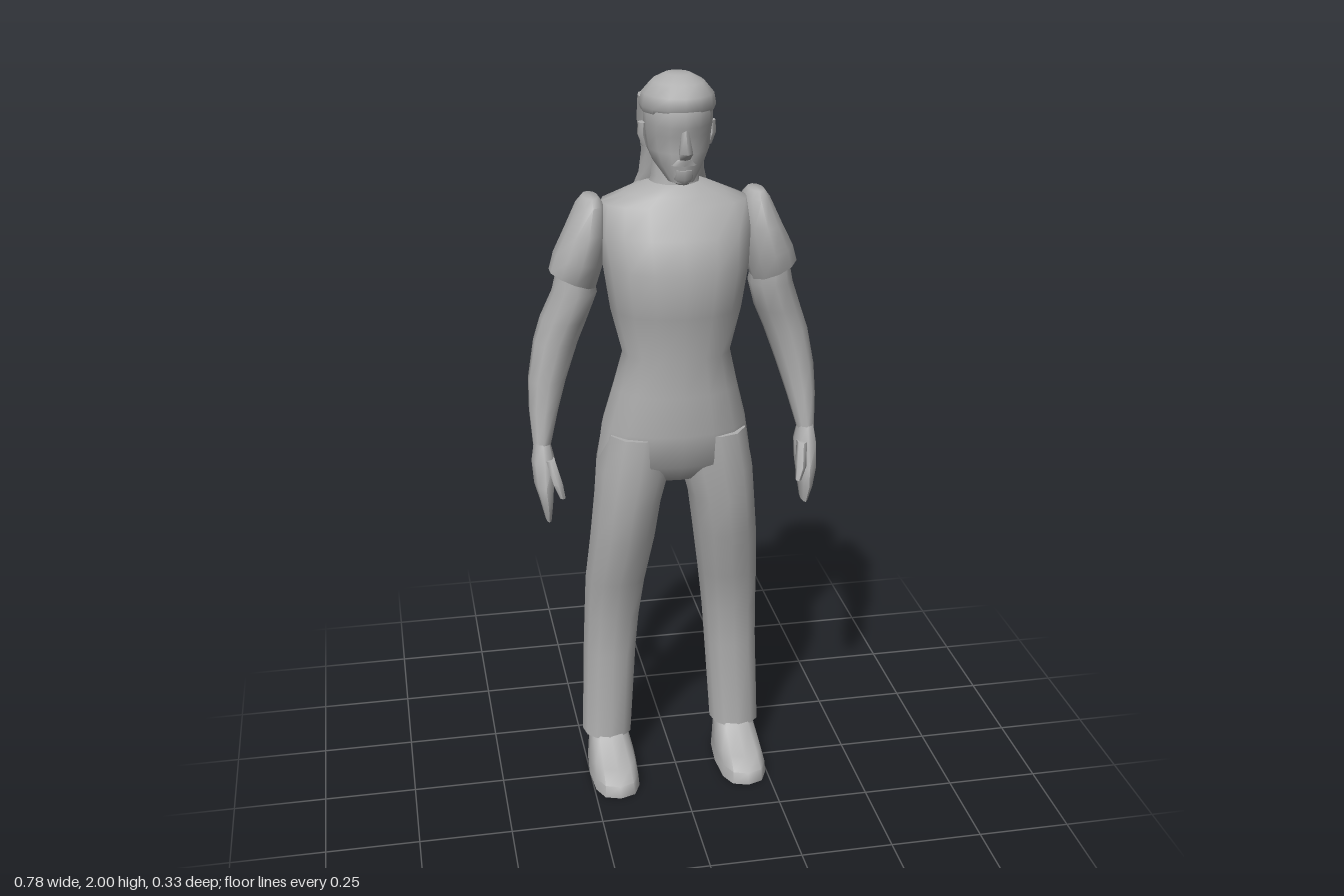
import * as THREE from 'three';
import { mergeVertices, toCreasedNormals } from 'three/addons/utils/BufferGeometryUtils.js';

// Loft through level cross-sections, listed top to bottom.
// Each ring: [y, xMin, xMax, zBack, zFront, slope of y over x]
function loft(rings, sides = 12, power = 2, side = 1, crease = 1.1) {
  const rows = rings.length - 1;
  const g = new THREE.CylinderGeometry(1, 1, 1, sides, rows);
  g.deleteAttribute('uv');
  g.deleteAttribute('normal');
  const p = g.attributes.position;
  const bulge = (v) => Math.sign(v) * Math.pow(Math.abs(v), 2 / power);
  for (let i = 0; i < p.count; i++) {
    const [y, x0, x1, z0, z1, slope = 0] = rings[Math.round((0.5 - p.getY(i)) * rows)];
    const dx = (bulge(p.getX(i)) * (x1 - x0)) / 2;
    const dz = (bulge(p.getZ(i)) * (z1 - z0)) / 2;
    p.setXYZ(i, (side * (x0 + x1)) / 2 + dx, y + slope * dx * side, (z0 + z1) / 2 + dz);
  }
  return toCreasedNormals(mergeVertices(g, 1e-5), crease);
}

// Rings symmetric about x = 0: [y, halfWidth, zBack, zFront]
const centred = (rings) => rings.map(([y, w, b, f]) => [y, -w, w, b, f]);

export function createModel() {
  const model = new THREE.Group();
  model.name = 'standingMan';
  const grey = new THREE.MeshStandardMaterial({ color: 0xb0b0b0 });
  grey.name = 'plain grey';

  const add = (name, geometry, parent = model) => {
    const mesh = new THREE.Mesh(geometry, grey);
    mesh.name = name;
    parent.add(mesh);
  };

  // Torso from the collar down to the crotch
  add('torso', loft(centred([
    [1.725, 0.07, -0.09, 0.055],
    [1.70, 0.13, -0.11, 0.075],
    [1.675, 0.19, -0.13, 0.09],
    [1.60, 0.20, -0.155, 0.13],
    [1.52, 0.19, -0.148, 0.163],
    [1.40, 0.172, -0.125, 0.14],
    [1.28, 0.142, -0.10, 0.12],
    [1.18, 0.166, -0.132, 0.122],
    [1.07, 0.195, -0.165, 0.118],
    [0.98, 0.208, -0.153, 0.108],
    [0.92, 0.10, -0.10, 0.05],
  ]), 16, 2.2));

  // Head
  const head = new THREE.Group();
  head.name = 'head';
  model.add(head);
  add('neck', loft(centred([
    [1.82, 0.06, -0.07, 0.05],
    [1.74, 0.06, -0.08, 0.05],
    [1.69, 0.075, -0.09, 0.06],
  ])), head);
  add('face', loft(centred([
    [1.96, 0.07, -0.05, 0.125],
    [1.93, 0.086, -0.08, 0.14],
    [1.885, 0.085, -0.08, 0.145],
    [1.86, 0.083, -0.08, 0.13],
    [1.82, 0.078, -0.075, 0.133],
    [1.785, 0.063, -0.05, 0.125],
    [1.745, 0.034, 0.03, 0.118],
  ]), 14), head);
  add('nose', loft(centred([
    [1.88, 0.009, 0.11, 0.142],
    [1.825, 0.018, 0.11, 0.166],
    [1.805, 0.014, 0.11, 0.135],
  ]), 6), head);
  add('moustache', loft(centred([
    [1.806, 0.02, 0.10, 0.136],
    [1.79, 0.034, 0.09, 0.131],
  ]), 8), head);
  add('beard', loft(centred([
    [1.778, 0.024, 0.09, 0.129],
    [1.755, 0.028, 0.07, 0.127],
    [1.74, 0.017, 0.07, 0.115],
  ]), 8), head);

  // Hair crown, and the long back that flares over the collar
  add('hairTop', loft(centred([
    [2.0, 0.032, -0.01, 0.07],
    [1.983, 0.065, -0.05, 0.115],
    [1.955, 0.089, -0.078, 0.14],
    [1.925, 0.095, -0.09, 0.142],
    [1.91, 0.09, -0.09, 0.13],
  ]), 14), head);
  add('hairBack', loft(centred([
    [1.94, 0.093, -0.085, 0.06],
    [1.88, 0.093, -0.09, 0.03],
    [1.80, 0.08, -0.09, 0.01],
    [1.74, 0.085, -0.097, -0.01],
    [1.69, 0.10, -0.117, -0.04],
  ]), 12, 2.6), head);

  for (const [label, s] of [['left', 1], ['right', -1]]) {
    const part = (name, rings, sides, power) => add(label + name, loft(rings, sides, power, s));

    part('Ear', [
      [1.88, 0.075, 0.098, 0.00, 0.035],
      [1.85, 0.075, 0.10, 0.00, 0.035],
      [1.82, 0.07, 0.088, 0.01, 0.03],
    ], 6);

    // Arm: short sleeve, bare arm, hand and thumb
    part('Sleeve', [
      [1.69, 0.195, 0.235, -0.07, 0.02],
      [1.67, 0.18, 0.25, -0.10, 0.04],
      [1.60, 0.175, 0.283, -0.115, 0.06],
      [1.53, 0.185, 0.312, -0.115, 0.065, 0.2],
      [1.475, 0.205, 0.325, -0.095, 0.045, 0.4],
    ], 10);
    part('Arm', [
      [1.50, 0.21, 0.305, -0.08, 0.03],
      [1.44, 0.20, 0.318, -0.10, 0.035],
      [1.36, 0.225, 0.348, -0.137, 0.018],
      [1.30, 0.25, 0.368, -0.122, 0.012],
      [1.20, 0.285, 0.386, -0.098, 0.01],
      [1.12, 0.31, 0.388, -0.07, 0.018],
      [1.03, 0.335, 0.382, -0.035, 0.03],
    ], 10);
    part('Hand', [
      [1.04, 0.337, 0.38, -0.03, 0.028],
      [0.99, 0.326, 0.388, -0.042, 0.05],
      [0.93, 0.33, 0.384, -0.043, 0.07],
      [0.88, 0.337, 0.37, -0.03, 0.08],
      [0.83, 0.343, 0.358, 0.0, 0.06],
    ], 8, 2.4);
    part('Thumb', [
      [1.0, 0.328, 0.355, 0.01, 0.055],
      [0.95, 0.314, 0.342, 0.055, 0.103],
      [0.915, 0.31, 0.326, 0.085, 0.105],
    ], 6);

    // Trouser leg and shoe
    part('TrouserLeg', [
      [1.06, 0.01, 0.19, -0.155, 0.108],
      [0.95, 0.015, 0.213, -0.15, 0.106],
      [0.86, 0.038, 0.22, -0.133, 0.094],
      [0.75, 0.053, 0.23, -0.135, 0.078],
      [0.60, 0.075, 0.243, -0.14, 0.022],
      [0.48, 0.09, 0.246, -0.152, 0.0],
      [0.36, 0.10, 0.25, -0.153, -0.015],
      [0.10, 0.117, 0.258, -0.153, -0.005],
    ], 12, 2.3);
    part('Shoe', [
      [0.13, 0.135, 0.235, -0.13, -0.02],
      [0.095, 0.13, 0.24, -0.132, 0.0],
      [0.06, 0.122, 0.246, -0.135, 0.10],
      [0.035, 0.118, 0.25, -0.135, 0.148],
      [0, 0.115, 0.252, -0.135, 0.152],
    ], 12, 2.8);
  }
  return model;
}
